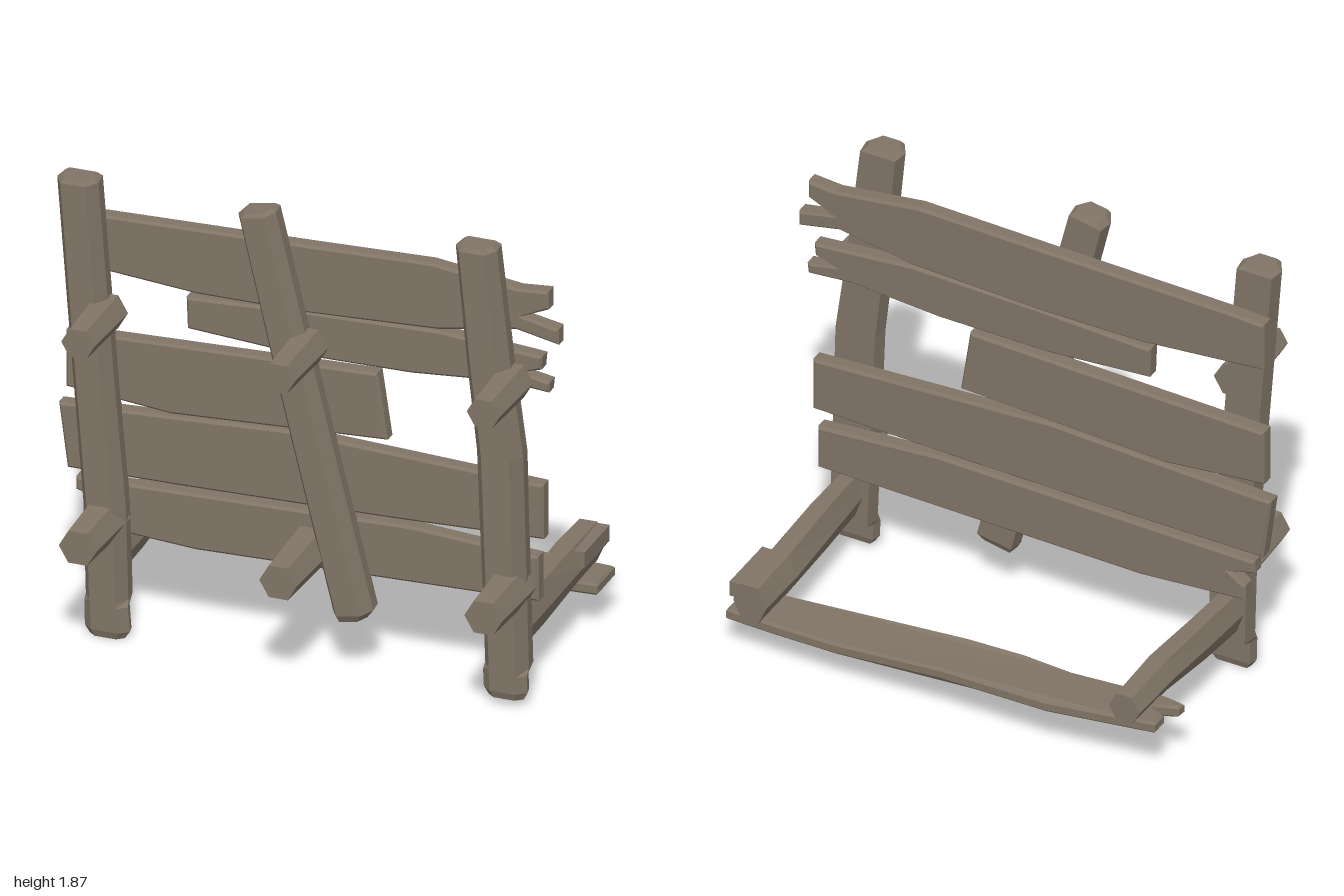
import * as THREE from 'three';

const wood = new THREE.MeshStandardMaterial({ color: 0x807466, flatShading: true });
wood.name = 'weathered wood';

// Loft one cross-section through stations [along, cu, cv, width u, width v, tilt]
function loft(section, stations, toXYZ) {
  const n = section.length, pos = [];
  const rings = stations.map(([a, cu, cv, wu, wv, tilt = 0]) => section.map(([u, v]) =>
    toXYZ(cu + u * wu / 2, cv + v * wv / 2, a + tilt * v)));
  const tri = (a, b, c) => pos.push(...a, ...b, ...c);
  for (let s = 0; s < rings.length - 1; s++) {
    for (let i = 0; i < n; i++) {
      const j = (i + 1) % n, lo = rings[s], hi = rings[s + 1];
      tri(lo[i], lo[j], hi[j]);
      tri(lo[i], hi[j], hi[i]);
    }
  }
  const first = rings[0], last = rings[rings.length - 1];
  for (let i = 1; i < n - 1; i++) {
    tri(first[0], first[i + 1], first[i]);
    tri(last[0], last[i], last[i + 1]);
  }
  const g = new THREE.BufferGeometry();
  g.setAttribute('position', new THREE.Float32BufferAttribute(pos, 3));
  g.computeVertexNormals();
  return g;
}

// Flat board cut from an outline, with small chamfered edges
function boardGeometry(outline, thickness) {
  const shape = new THREE.Shape(outline.map(([x, y]) => new THREE.Vector2(x, y)));
  const b = 0.01;
  const g = new THREE.ExtrudeGeometry(shape, {
    depth: thickness - 2 * b, bevelEnabled: true, bevelThickness: b,
    bevelSize: b, bevelOffset: -b, bevelSegments: 1,
  });
  return g.translate(0, 0, b);
}

// Straight-line interpolation through [x, y] points
function follow(points, x) {
  let i = 0;
  while (i < points.length - 2 && x > points[i + 1][0]) i++;
  const [x0, y0] = points[i], [x1, y1] = points[i + 1];
  return y0 + (y1 - y0) * (x - x0) / (x1 - x0);
}

export function createModel() {
  const model = new THREE.Group();
  model.name = 'plankBarricade';
  const add = (name, geometry) => {
    const mesh = new THREE.Mesh(geometry, wood);
    mesh.name = name;
    model.add(mesh);
    return mesh;
  };

  // Upright posts, chamfered on the front
  const postSection = [[1, -0.6], [1, 0.6], [0.1, 1], [-1, 0.9], [-1, -0.9], [0.1, -1]];
  const upright = (z, x, y) => [x, y, z];
  add('rightPost', loft(postSection, [
    [0.0, 0.32, -0.77, 0.05, 0.14], [0.03, 0.32, -0.77, 0.07, 0.18],
    [0.13, 0.32, -0.775, 0.07, 0.175], [0.15, 0.295, -0.78, 0.12, 0.17],
    [0.53, 0.295, -0.79, 0.12, 0.17], [1.06, 0.295, -0.835, 0.12, 0.165],
    [1.855, 0.295, -0.897, 0.12, 0.165], [1.87, 0.295, -0.897, 0.1, 0.12],
  ], upright));
  add('leftPost', loft(postSection, [
    [0.03, 0.32, 0.825, 0.05, 0.14], [0.06, 0.32, 0.823, 0.07, 0.175],
    [0.13, 0.32, 0.82, 0.07, 0.175], [0.15, 0.295, 0.82, 0.12, 0.175],
    [1.02, 0.295, 0.792, 0.12, 0.185], [1.4, 0.295, 0.745, 0.12, 0.175],
    [1.855, 0.295, 0.697, 0.12, 0.165], [1.87, 0.295, 0.697, 0.1, 0.12],
  ], upright));
  add('leaningPost', loft(postSection, [
    [0.235, 0.295, 0.2, 0.09, 0.12, 0.012], [0.265, 0.295, 0.205, 0.12, 0.16, 0.015],
    [1.05, 0.295, 0.01, 0.12, 0.165], [1.845, 0.295, -0.18, 0.12, 0.15, 0.015],
    [1.86, 0.295, -0.18, 0.1, 0.11, 0.01],
  ], upright));

  // Back boards, some with splintered ends
  const boards = {
    topBoard: [[-0.97, 1.68], [-0.82, 1.69], [0, 1.71], [0.49, 1.725], [0.84, 1.68], [0.96, 1.69],
      [0.96, 1.615], [0.85, 1.567], [1, 1.54], [1, 1.475], [0.83, 1.51], [0.52, 1.455],
      [0, 1.43], [-0.45, 1.43], [-0.97, 1.475]],
    shortUpperBoard: [[-0.49, 1.41], [0, 1.435], [0.52, 1.45], [0.935, 1.415], [0.93, 1.36],
      [0.84, 1.335], [0.965, 1.315], [0.96, 1.27], [0.78, 1.285], [0.41, 1.255],
      [-0.05, 1.25], [-0.485, 1.28]],
    shortMiddleBoard: [[-0.97, 1.19], [0.275, 1.23], [0.315, 0.96], [-0.55, 0.915], [-0.97, 0.955]],
    wideBoard: [[-1, 0.885], [-0.55, 0.905], [-0.07, 0.93], [0.94, 0.885], [0.94, 0.66],
      [0.33, 0.64], [-0.47, 0.625], [-0.965, 0.62]],
    lowerBoard: [[-0.93, 0.59], [-0.47, 0.6], [0.41, 0.62], [0.92, 0.585], [0.92, 0.4],
      [-0.45, 0.37], [-0.89, 0.4], [-0.89, 0.465], [-0.82, 0.51], [-0.93, 0.535]],
  };
  for (const [name, outline] of Object.entries(boards)) {
    add(name, boardGeometry(outline.slice().reverse(), 0.066)).position.z = 0.173;
  }

  // Tapered hexagonal pegs
  for (const [row, y, r] of [['upper', 1.315, 0.068], ['lower', 0.47, 0.078]]) {
    for (const x of [-0.79, 0.012, 0.832]) {
      const back = row === 'lower' && Math.abs(x) < 0.1 ? 0.2 : 0.26;
      const g = new THREE.CylinderGeometry(r * 0.97, r * 1.14, 0.575 - back, 6);
      g.rotateY(Math.PI / 6).rotateX(Math.PI / 2);
      add(row + 'Peg', g).position.set(x, y, (0.575 + back) / 2);
    }
  }

  // Rear-reaching support arms
  const hex = [[0.5, -1], [1, 0], [0.5, 1], [-0.5, 1], [-1, 0], [-0.5, -1]];
  const lengthwise = (x, y, z) => [x, y, z];
  add('rightArm', loft(hex, [
    [-0.565, -0.78, 0.33, 0.13, 0.12], [-0.3, -0.78, 0.33, 0.14, 0.135],
    [0, -0.787, 0.3, 0.125, 0.16], [0.27, -0.795, 0.285, 0.115, 0.17],
  ], lengthwise));
  add('leftArm', loft(hex, [
    [-0.565, 0.805, 0.275, 0.14, 0.16], [-0.33, 0.805, 0.28, 0.15, 0.165],
    [0, 0.815, 0.28, 0.135, 0.18], [0.27, 0.822, 0.275, 0.115, 0.17],
  ], lengthwise));
  add('armSplinter', new THREE.BoxGeometry(0.08, 0.065, 0.255)).position.set(0.85, 0.318, -0.437);

  // Rear board lying under the arms, sagging along its length
  const rear = boardGeometry([[-0.9, -0.545], [-0.72, -0.555], [-0.45, -0.575], [0, -0.565],
    [0.45, -0.555], [0.73, -0.55], [0.92, -0.54], [0.92, -0.365], [0.73, -0.35], [0.44, -0.33],
    [0, -0.335], [-0.24, -0.34], [-0.45, -0.355], [-0.85, -0.36], [-0.935, -0.38],
    [-0.93, -0.415], [-0.82, -0.44], [-0.9, -0.475]].map(([x, z]) => [x, -z]), 0.05);
  rear.rotateX(-Math.PI / 2);
  const sag = [[-0.93, 0.245], [-0.5, 0.21], [-0.2, 0.21], [0, 0.2], [0.45, 0.157], [0.92, 0.15]];
  const p = rear.attributes.position;
  for (let i = 0; i < p.count; i++) p.setY(i, p.getY(i) + follow(sag, p.getX(i)));
  rear.computeVertexNormals();
  add('rearBoard', rear);

  return model;
}
